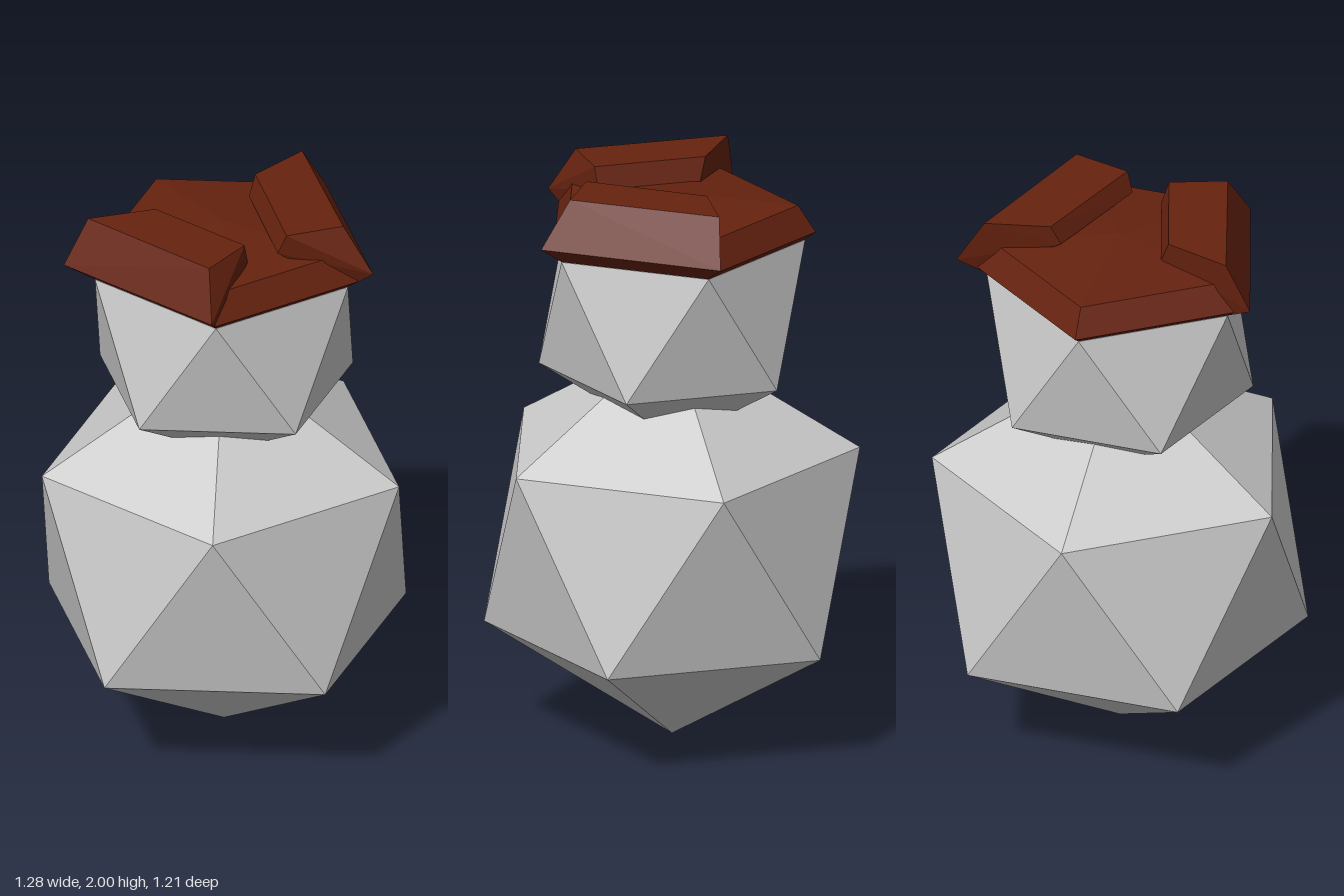
import * as THREE from 'three';
import { ConvexGeometry } from 'three/addons/geometries/ConvexGeometry.js';

const V = (x, y, z) => new THREE.Vector3(x, y, z);

// five points on a level circle
function ring(radius, y, turn = 0) {
  return Array.from({ length: 5 }, (_, i) => {
    const a = turn + (i * Math.PI * 2) / 5;
    return V(radius * Math.cos(a), y, radius * Math.sin(a));
  });
}

// faceted solid wrapped around a set of points
function solid(name, points, material) {
  const mesh = new THREE.Mesh(new ConvexGeometry(points), material);
  mesh.name = name;
  return mesh;
}

// twenty-sided ball standing on a point; topY lets the upper tip be pressed down
function ball(name, radius, centerY, topY, material) {
  const r = radius * 0.8944, h = radius * 0.4472;
  return solid(name, [
    V(0, centerY - radius, 0),
    ...ring(r, centerY - h, Math.PI / 5),
    ...ring(r, centerY + h),
    V(0, topY, 0),
  ], material);
}

export function createModel() {
  const model = new THREE.Group();
  model.name = 'stackedFigure';
  const grey = new THREE.MeshStandardMaterial({ color: 0xcccccc, flatShading: true });
  const brown = new THREE.MeshStandardMaterial({ color: 0x66220f, flatShading: true });

  // body and head
  model.add(ball('body', 0.713, 0.718, 1.431, grey));
  model.add(ball('head', 0.505, 1.551, 1.9, grey));

  // low five-sided cap
  const cap = new THREE.Group();
  cap.name = 'cap';
  cap.add(solid('capBase', [
    ...ring(0.45, 1.777),
    ...ring(0.488, 1.805),
    ...ring(0.427, 1.9),
    V(0, 1.94, 0),
  ], brown));

  // raised slabs along two sides: the same section at each end
  // (head edge, outer rim, outer top, inner top, inner foot)
  cap.add(solid('rightSlab', [
    V(-0.364, 1.777, 0.264), V(-0.442, 1.84, 0.31), V(-0.365, 2, 0.235), V(-0.165, 2, 0.226), V(-0.14, 1.922, 0.22),
    V(-0.364, 1.777, -0.264), V(-0.442, 1.84, -0.34), V(-0.36, 2, -0.3), V(-0.165, 2, -0.165), V(-0.14, 1.922, -0.14),
  ], brown));
  cap.add(solid('leftSlab', [
    V(0.45, 1.777, 0), V(0.555, 1.84, -0.012), V(0.46, 2, -0.035), V(0.235, 2, -0.056), V(0.2, 1.93, -0.055),
    V(0.139, 1.777, 0.428), V(0.175, 1.84, 0.512), V(0.148, 2, 0.402), V(-0.025, 2, 0.295), V(-0.042, 1.93, 0.27),
  ], brown));
  model.add(cap);

  return model;
}
